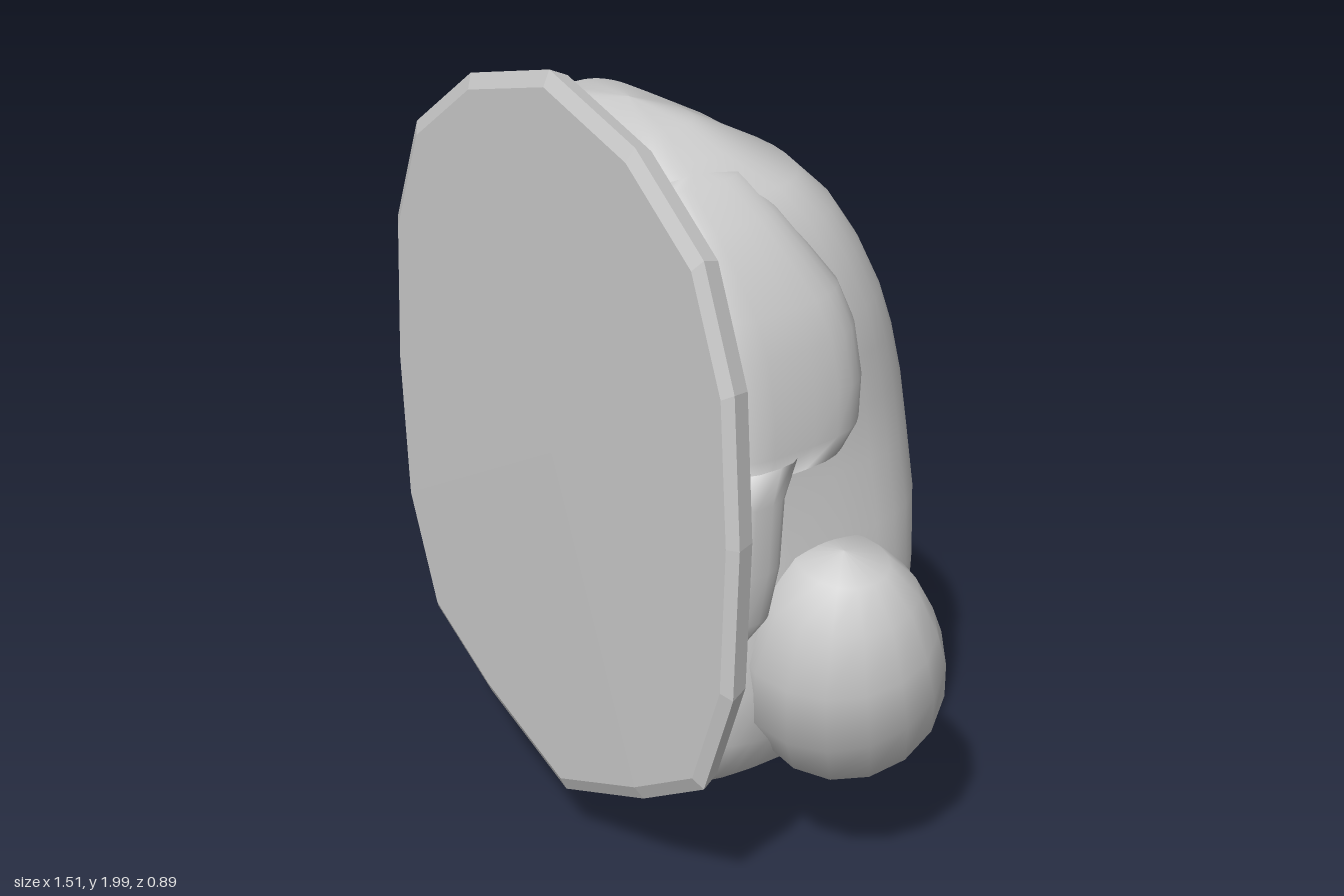
import * as THREE from 'three';

const V = (x, y, z) => new THREE.Vector3(x, y, z);

// Skin a closed surface over a list of rings with equal point counts.
function skin(name, rings, flatShading = false) {
  const n = rings[0].length;
  const index = [];
  for (let i = 0; i < rings.length - 1; i++) {
    for (let j = 0; j < n; j++) {
      const k = (j + 1) % n;
      const a = i * n + j, b = i * n + k, c = a + n, d = b + n;
      index.push(a, c, b, b, c, d);
    }
  }
  const geometry = new THREE.BufferGeometry().setFromPoints(rings.flat());
  geometry.setIndex(index);
  geometry.computeVertexNormals();
  const mesh = new THREE.Mesh(geometry, new THREE.MeshStandardMaterial({ color: 0xcccccc, flatShading }));
  mesh.name = name;
  return mesh;
}

// Horizontal rounded-box section; the +z half can be squarer than the -z half.
function section(y, cx, w, zBack, zFront, pBack, pFront, cleft, n) {
  const ring = [];
  for (let j = 0; j < n; j++) {
    const a = (j / n) * Math.PI * 2;
    const c = Math.cos(a), s = Math.sin(a);
    const p = s < 0 ? pBack : pFront;
    const x = w * Math.sign(c) * Math.abs(c) ** p;
    let z = (zBack + zFront) / 2 + ((zFront - zBack) / 2) * Math.sign(s) * Math.abs(s) ** p;
    if (s < 0) z += cleft * Math.exp(-((x / 0.08) ** 2));
    ring.push(V(cx + x, y, z));
  }
  return ring;
}

// Limb along a path of [x, y, z, radius, flatness].
function limb(name, path, n = 16) {
  const curve = new THREE.CatmullRomCurve3(path.map(p => V(p[0], p[1], p[2])));
  return skin(name, path.map(([, , , r, flat = 1], i) => {
    const t = i / (path.length - 1);
    const centre = curve.getPoint(t), T = curve.getTangent(t);
    const N = V(0, 0, 1).addScaledVector(T, -T.z).normalize();
    const B = N.clone().cross(T);
    return Array.from({ length: n }, (_, j) => {
      const a = (j / n) * Math.PI * 2;
      return centre.clone().addScaledVector(N, r * Math.cos(a)).addScaledVector(B, r * flat * Math.sin(a));
    });
  }));
}

// Sixteen-sided oval platter with a raised rim behind.
function makePlatter() {
  const half = [[0, 2], [0.305, 1.91], [0.537, 1.73], [0.64, 1.46], [0.66, 1.1], [0.64, 0.72], [0.537, 0.44], [0.31, 0.3], [0, 0.17]];
  const outline = [...half, ...half.slice(1, -1).reverse().map(([x, y]) => [-x, y])].reverse();
  const profile = [[0, 0.448], [0.96, 0.445], [1, 0.428], [0.975, 0.38], [0.92, 0.38], [0.89, 0.41], [0, 0.41]];
  const cy = 1.085;
  return skin('platter', profile.map(([s, z]) =>
    outline.map(([x, y]) => V(0.005 + x * s, cy + (y - cy) * s, z))), true);
}

// Plump body: height, half width, back z, front z, breast cleft depth.
function makeBody() {
  const rows = [
    [0.23, 0, 0, 0.02, 0], [0.23, 0.2, -0.17, 0.2, 0.04], [0.27, 0.33, -0.23, 0.32, 0.07],
    [0.34, 0.42, -0.265, 0.375, 0.06], [0.45, 0.48, -0.315, 0.385, 0.045], [0.6, 0.52, -0.378, 0.385, 0.03],
    [0.76, 0.515, -0.395, 0.385, 0.025], [0.92, 0.5, -0.402, 0.385, 0.022], [1.08, 0.48, -0.388, 0.385, 0.02],
    [1.22, 0.475, -0.365, 0.385, 0.018], [1.35, 0.48, -0.325, 0.385, 0.016], [1.46, 0.48, -0.28, 0.385, 0.015],
    [1.58, 0.46, -0.22, 0.385, 0.012], [1.68, 0.43, -0.155, 0.385, 0.012], [1.76, 0.38, -0.075, 0.385, 0.012],
    [1.83, 0.29, 0.05, 0.38, 0.02], [1.875, 0.19, 0.13, 0.31, 0.02], [1.89, 0, 0.21, 0.21, 0]
  ];
  return skin('body', rows.map(([y, w, zb, zf, cleft]) => section(y, 0, w, zb, zf, 0.7, 0.5, cleft, 40)));
}

// Folded wing: broad shoulder blending into the body, forearm lying along the platter.
function makeWing(name, side) {
  const rows = [
    [0.74, 0.46, 0.36, 0.36], [0.77, 0.55, 0.31, 0.38], [0.85, 0.59, 0.24, 0.385], [0.98, 0.61, 0.22, 0.385],
    [1.15, 0.62, 0.215, 0.385], [1.235, 0.62, 0.17, 0.385], [1.2, 0.605, 0.01, 0.385], [1.25, 0.605, -0.04, 0.385],
    [1.35, 0.6, -0.05, 0.385], [1.47, 0.58, -0.04, 0.385], [1.56, 0.55, -0.01, 0.385], [1.65, 0.5, 0.05, 0.385],
    [1.73, 0.44, 0.1, 0.38], [1.8, 0.35, 0.15, 0.36], [1.82, 0.28, 0.25, 0.25]
  ];
  return skin(name, rows.map(([y, x, zb, zf], i) => {
    const w = i === 0 || i === rows.length - 1 ? 0 : (x - 0.22) / 2;
    return section(y, side * (x - w), w, zb, zf, 0.75, 0.45, 0, 28);
  }));
}

// Drumstick with a thin shank and a flattened knobbly end.
function makeDrumstick(name, side) {
  const shift = side < 0 ? -0.045 : 0;
  return limb(name, [
    [0.56, 0.93, 0.04, 0], [0.555, 0.905, 0.04, 0.11], [0.545, 0.83, 0.04, 0.185], [0.525, 0.71, 0.03, 0.235],
    [0.505, 0.6, 0, 0.25], [0.47, 0.5, -0.055, 0.235], [0.42, 0.42, -0.12, 0.185], [0.345, 0.345, -0.185, 0.125],
    [0.27, 0.275, -0.24, 0.075], [0.21, 0.215, -0.28, 0.042], [0.175, 0.165, -0.325, 0.048, 0.85],
    [0.14, 0.11, -0.365, 0.075, 0.7], [0.115, 0.065, -0.372, 0.072, 0.65], [0.095, 0.03, -0.36, 0.055, 0.6],
    [0.09, 0.015, -0.355, 0]
  ].map(([x, y, z, r, flat], i) => [side * x + (i > 8 ? shift : 0), y, z, r, flat]));
}

export function createModel() {
  const model = new THREE.Group();
  model.name = 'roastBirdOnPlatter';
  model.add(makePlatter(), makeBody());
  for (const [side, label] of [[1, 'left'], [-1, 'right']]) {
    model.add(makeWing(label + 'Wing', side), makeDrumstick(label + 'Drumstick', side));
  }
  return model;
}
